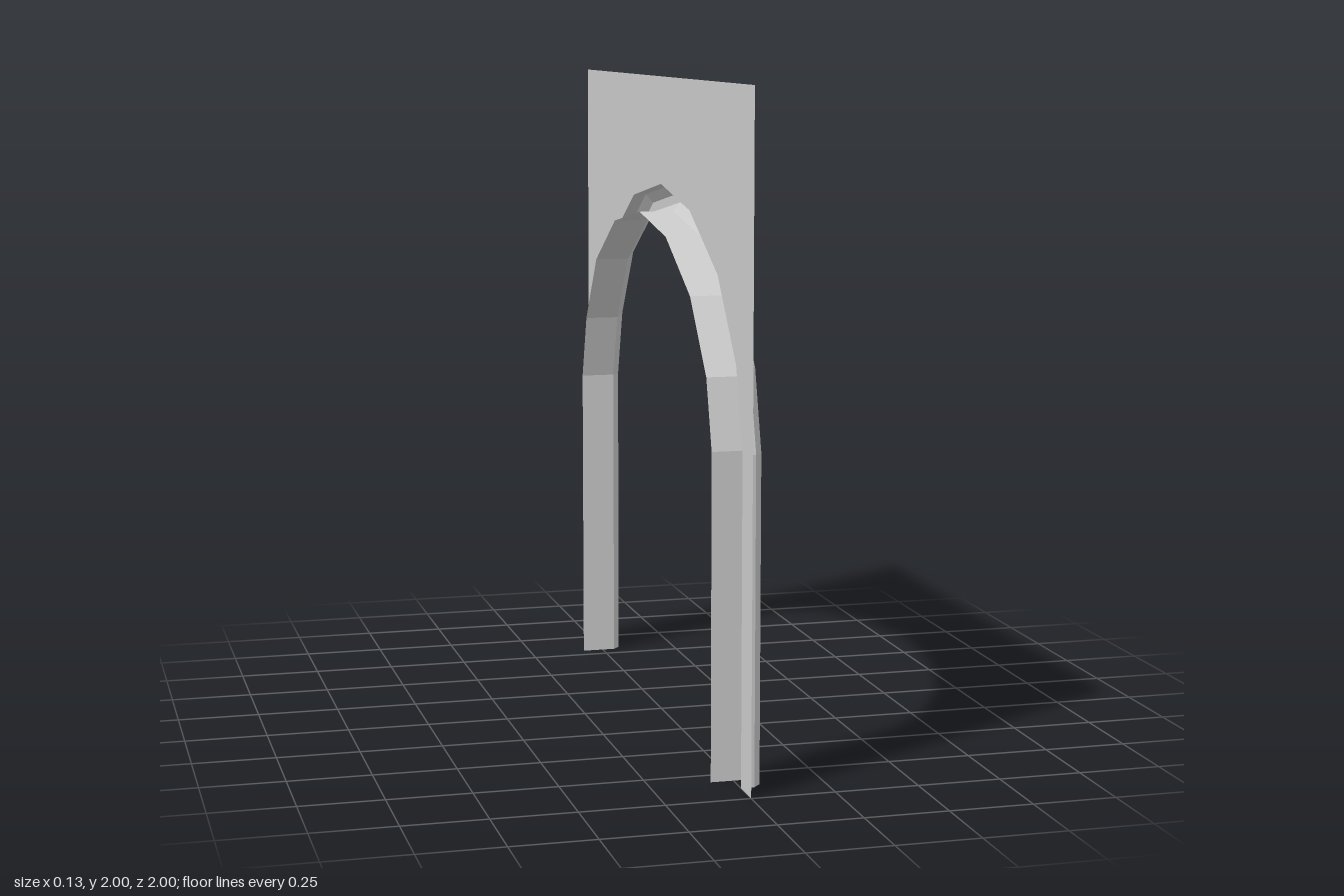
import * as THREE from 'three';

// Opening edge and trim edge as [z, y], from the +z foot over the apex to the -z foot
const innerEdge = [
  [0.82, 0], [0.82, 0.965], [0.762, 1.17], [0.585, 1.383], [0.31, 1.532], [-0.007, 1.584],
  [-0.332, 1.532], [-0.594, 1.383], [-0.743, 1.17], [-0.804, 0.965], [-0.804, 0],
];
const outerEdge = [
  [0.898, 0], [0.898, 0.965], [0.83, 1.212], [0.637, 1.448], [0.327, 1.613], [-0.007, 1.669],
  [-0.35, 1.613], [-0.647, 1.448], [-0.813, 1.212], [-0.882, 0.965], [-0.882, 0],
];

// Sweeps a profile of [x, t] along the arch; t = 0 is the opening edge, t = 1 the trim edge
function sweepArch(profile) {
  const point = (i, [x, t]) => [
    x,
    THREE.MathUtils.lerp(innerEdge[i][1], outerEdge[i][1], t),
    THREE.MathUtils.lerp(innerEdge[i][0], outerEdge[i][0], t),
  ];
  const positions = [];
  for (let i = 0; i < innerEdge.length - 1; i++) {
    for (let k = 0; k < profile.length - 1; k++) {
      const a = point(i, profile[k]);
      const b = point(i, profile[k + 1]);
      const c = point(i + 1, profile[k + 1]);
      const d = point(i + 1, profile[k]);
      positions.push(...a, ...b, ...c, ...a, ...c, ...d);
    }
  }
  const geometry = new THREE.BufferGeometry();
  geometry.setAttribute('position', new THREE.Float32BufferAttribute(positions, 3));
  geometry.computeVertexNormals();
  return geometry;
}

// Flat wall sheet in the plane x = 0, cut out along the trim edge
function wallSheet() {
  const outline = [[1, 0], [1, 2], [-1, 2], [-1, 0], ...[...outerEdge].reverse()];
  const shape = new THREE.Shape(outline.map(([z, y]) => new THREE.Vector2(-z, y)));
  return new THREE.ShapeGeometry(shape).rotateY(Math.PI / 2);
}

export function createModel() {
  const material = new THREE.MeshStandardMaterial({
    color: 0xcccccc, flatShading: true, side: THREE.DoubleSide,
  });
  const group = new THREE.Group();
  group.name = 'archedWall';
  const add = (name, geometry) => {
    const mesh = new THREE.Mesh(geometry, material);
    mesh.name = name;
    group.add(mesh);
  };

  add('wall', wallSheet());
  // Raised moulding with a bevel on both sides
  add('archTrim', sweepArch([[0, 1], [0.04, 1], [0.063, 0.67], [0.063, 0.32], [0.04, 0]]));
  // Thin lining of the opening, running past the back of the wall
  add('archReveal', sweepArch([[0.04, 0], [-0.068, 0]]));

  return group;
}
